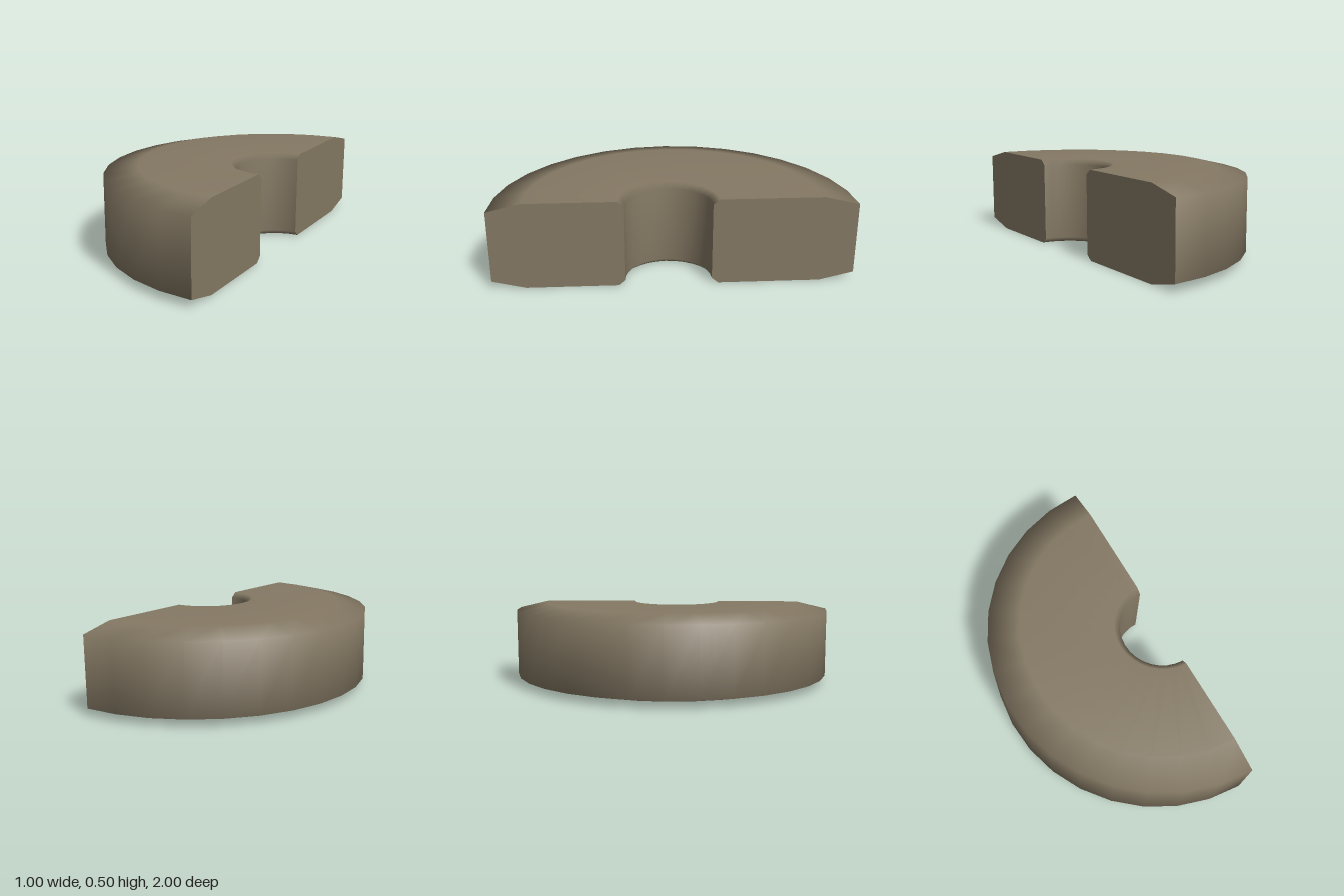
import * as THREE from 'three';

const STEPS = 16;
// Cross-section: [radius, height, z of the arc centre]; the bore sits slightly off centre
const PROFILE = [
  [1, 0.045, 0], [1, 0.455, 0], [0.81, 0.5, 0], [0.275, 0.5, 0.03],
  [0.24, 0.47, 0.03], [0.24, 0.03, 0.03], [0.275, 0, 0.03], [0.81, 0, 0],
];
const N = PROFILE.length;

function ringPoint([r, y, cz], angle) {
  return [0.5 - r * Math.sin(angle), y, cz + r * Math.cos(angle)];
}

function makeGeometry(points, index) {
  const g = new THREE.BufferGeometry();
  g.setAttribute('position', new THREE.Float32BufferAttribute(points.flat(), 3));
  g.setIndex(index);
  g.computeVertexNormals();
  return g;
}

// Smooth half ring swept through 180 degrees
function sweep() {
  const points = [], index = [];
  for (let i = 0; i <= STEPS; i++) {
    for (const p of PROFILE) points.push(ringPoint(p, (i / STEPS) * Math.PI));
  }
  for (let i = 0; i < STEPS; i++) {
    for (let j = 0; j < N; j++) {
      const a = i * N + j, up = i * N + (j + 1) % N;
      index.push(a, up, a + N, up, up + N, a + N);
    }
  }
  return makeGeometry(points, index);
}

// Flat end face, facing +x
function endFace(angle, reverse) {
  const points = PROFILE.map((p) => ringPoint(p, angle));
  const index = [];
  for (let j = 1; j < N - 1; j++) {
    if (reverse) index.push(0, j + 1, j);
    else index.push(0, j, j + 1);
  }
  return makeGeometry(points, index);
}

export function createModel() {
  const stone = new THREE.MeshStandardMaterial({ color: 0x857964 });
  stone.name = 'stone';
  const group = new THREE.Group();
  group.name = 'halfRing';
  const add = (name, geometry) => {
    const mesh = new THREE.Mesh(geometry, stone);
    mesh.name = name;
    group.add(mesh);
  };
  add('ringBody', sweep());
  add('frontEndFace', endFace(0, true));
  add('backEndFace', endFace(Math.PI, false));
  return group;
}
